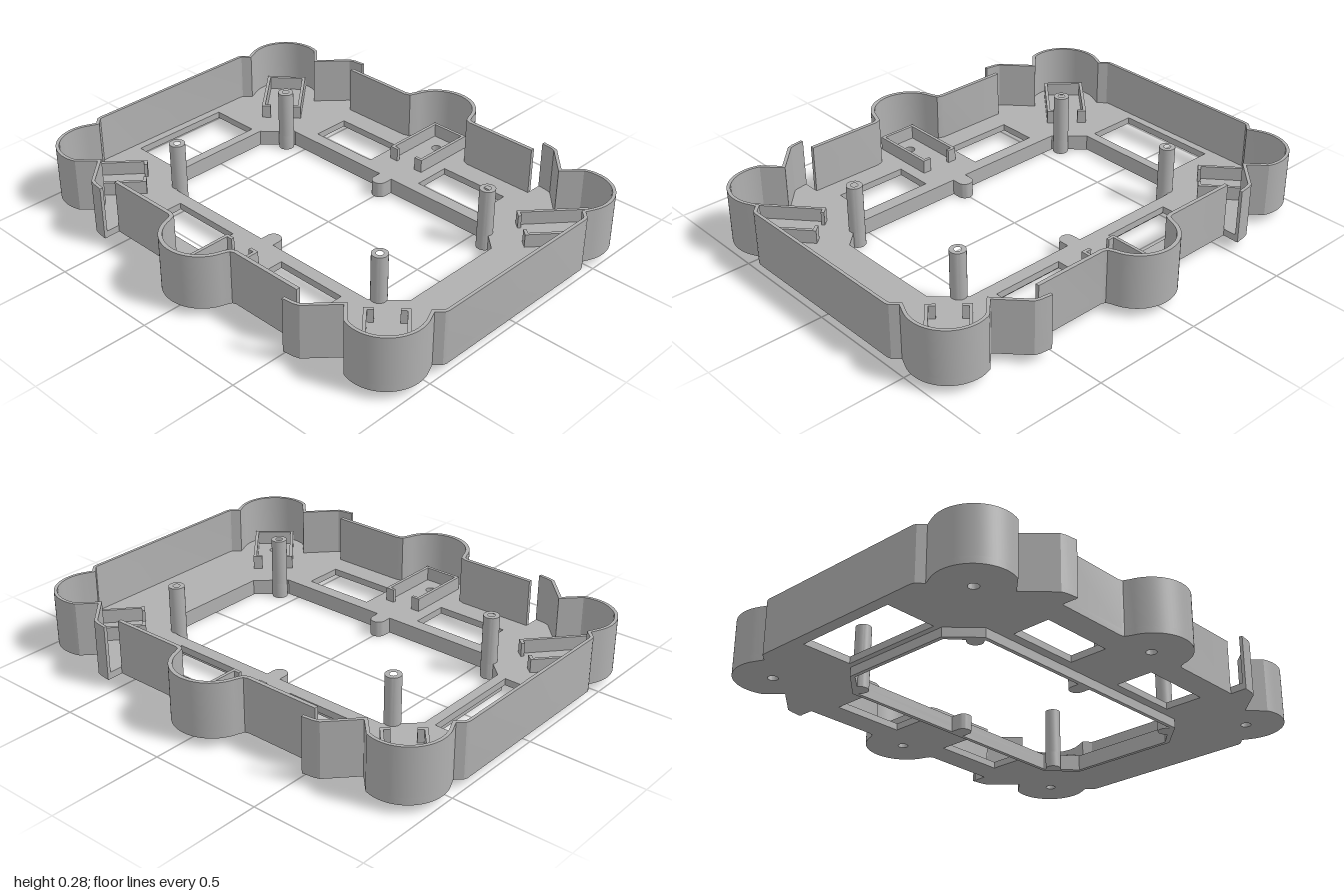
import * as THREE from 'three';
import { toCreasedNormals } from 'three/addons/utils/BufferGeometryUtils.js';

const FLOOR = 0.04, DECK = 0.07, TOP = 0.28;

// Points are [x, z] pairs seen from above
const flipX = pts => pts.map(([x, z]) => [-x, z]);
const flipZ = pts => pts.map(([x, z]) => [x, -z]);
const reversed = pts => [...pts].reverse();

function arc(cx, cz, r, fromDeg, toDeg, n) {
  const pts = [];
  for (let i = 0; i <= n; i++) {
    const a = THREE.MathUtils.degToRad(fromDeg + (toDeg - fromDeg) * i / n);
    pts.push([cx + r * Math.cos(a), cz + r * Math.sin(a)]);
  }
  return pts;
}
const circle = (x, z, r, n = 24) => arc(x, z, r, 0, 360 - 360 / n, n - 1);
const rect = (x0, x1, z0, z1) => [[x0, z0], [x1, z0], [x1, z1], [x0, z1]];

// Upright slab from a plan outline, between two heights
function slab(outline, y0, y1, holes = []) {
  const v = pts => pts.map(([x, z]) => new THREE.Vector2(x, -z));
  const shape = new THREE.Shape(v(outline));
  shape.holes = holes.map(h => new THREE.Path(v(h)));
  const geo = new THREE.ExtrudeGeometry(shape, { depth: y1 - y0, bevelEnabled: false });
  geo.rotateX(-Math.PI / 2).translate(0, y0, 0);
  return toCreasedNormals(geo, 0.45);
}

// Closed ribbon: a path plus its mitred inward offset
function ribbon(path, t) {
  const normal = (a, b) => {
    const dx = b[0] - a[0], dz = b[1] - a[1], l = Math.hypot(dx, dz);
    return [dz / l, -dx / l];
  };
  const inner = path.map((p, i) => {
    const n1 = normal(path[Math.max(i - 1, 0)], path[Math.max(i, 1)]);
    const last = path.length - 1;
    const n2 = normal(path[Math.min(i, last - 1)], path[Math.min(i + 1, last)]);
    const k = t / Math.max(0.3, 1 + n1[0] * n2[0] + n1[1] * n2[1]);
    return [p[0] + (n1[0] + n2[0]) * k, p[1] + (n1[1] + n2[1]) * k];
  });
  return [...path, ...reversed(inner)];
}

// Rectangle with clipped corners
function octagon(x, z, cx, cz) {
  const side = [[cx, z], [x, cz], [x, -cz], [cx, -z]];
  return [...side, ...reversed(flipX(side))];
}

export function createModel() {
  const group = new THREE.Group();
  const grey = new THREE.MeshStandardMaterial({ color: 0xb0b0b0 });
  grey.name = 'grey plastic';
  const add = (name, geo, parent = group) => {
    const mesh = new THREE.Mesh(geo, grey);
    mesh.name = name;
    parent.add(mesh);
    return mesh;
  };

  // Plan outline: front corner lobe with fin, then the middle lobe
  const corner = [
    [0.41, 1], [0.425, 0.995], [0.452, 0.967],
    ...arc(0.56, 0.835, 0.165, 115, -22, 28),
    [0.645, 0.708], [0.76, 0.6], [0.768, 0.575], [0.774, 0.525],
  ];
  const middle = [
    [0.7, 0.525], [0.7, 0.192], [0.706, 0.176],
    ...arc(0.69, 0, 0.17, 76, -76, 30),
    [0.706, -0.176], [0.7, -0.192], [0.7, -0.525],
  ];
  const leftSide = [...corner, ...middle, ...reversed(flipZ(corner))];
  const outline = [...leftSide, ...reversed(flipX(leftSide))];

  // Floor with central opening, windows and screw holes
  const opening = octagon(0.355, 0.678, 0.245, 0.56);
  const holes = [opening, rect(-0.238, 0.232, -0.95, -0.72)];
  for (const s of [1, -1]) {
    for (const t of [1, -1]) {
      holes.push(rect(0.412 * s, 0.585 * s, 0.142 * t, 0.472 * t));
      holes.push(circle(0.56 * s, 0.838 * t, 0.022));
    }
    holes.push(circle(0.697 * s, 0, 0.022));
  }
  add('floor', slab(outline, FLOOR, DECK, holes));

  // Thin rim under the central opening
  add('openingRim', slab(octagon(0.372, 0.695, 0.255, 0.58), 0, FLOOR, [opening]));

  // Outer walls: front and back runs, and both sides
  const front = ribbon([...reversed(flipX(corner)), ...corner], 0.014);
  add('frontWall', slab(front, FLOOR, TOP));
  add('backWall', slab(flipZ(front), FLOOR, TOP));
  const side = ribbon(middle, 0.017);
  add('leftWall', slab(side, FLOOR, TOP));
  add('rightWall', slab(flipX(side), FLOOR, TOP));

  // Screw posts at the clipped corners of the opening
  for (const x of [0.32, -0.32]) {
    for (const z of [0.583, -0.583]) {
      const post = new THREE.Group();
      post.name = 'screwPost';
      group.add(post);
      add('postBase', slab(circle(x, z, 0.034), 0, DECK), post);
      add('postTube', slab(circle(x, z, 0.034), DECK, TOP, [circle(x, z, 0.015)]), post);
    }
  }

  // Rounded tabs at the middle of the opening
  const tab = [[0.372, 0.034], [0.372, -0.034], ...arc(0.319, 0, 0.034, -90, -270, 14)];
  add('leftTab', slab(tab, 0, DECK));
  add('rightTab', slab(flipX(tab), 0, DECK));

  // Clip brackets in every lobe, open towards the centre
  const clip = slab(ribbon([
    [-0.21, 0.05], [-0.21, 0.09], [0.09, 0.09],
    [0.09, -0.09], [-0.21, -0.09], [-0.21, -0.05],
  ], 0.014), DECK, DECK + 0.06);
  const places = [
    [0.697, 0, 0], [0.56, 0.838, 41], [0.56, -0.838, -41],
    [-0.697, 0, 180], [-0.56, 0.838, 139], [-0.56, -0.838, -139],
  ];
  for (const [x, z, deg] of places) {
    const bracket = add('clipBracket', clip);
    bracket.position.set(x, 0, z);
    bracket.rotation.y = -THREE.MathUtils.degToRad(deg);
  }

  return group;
}
